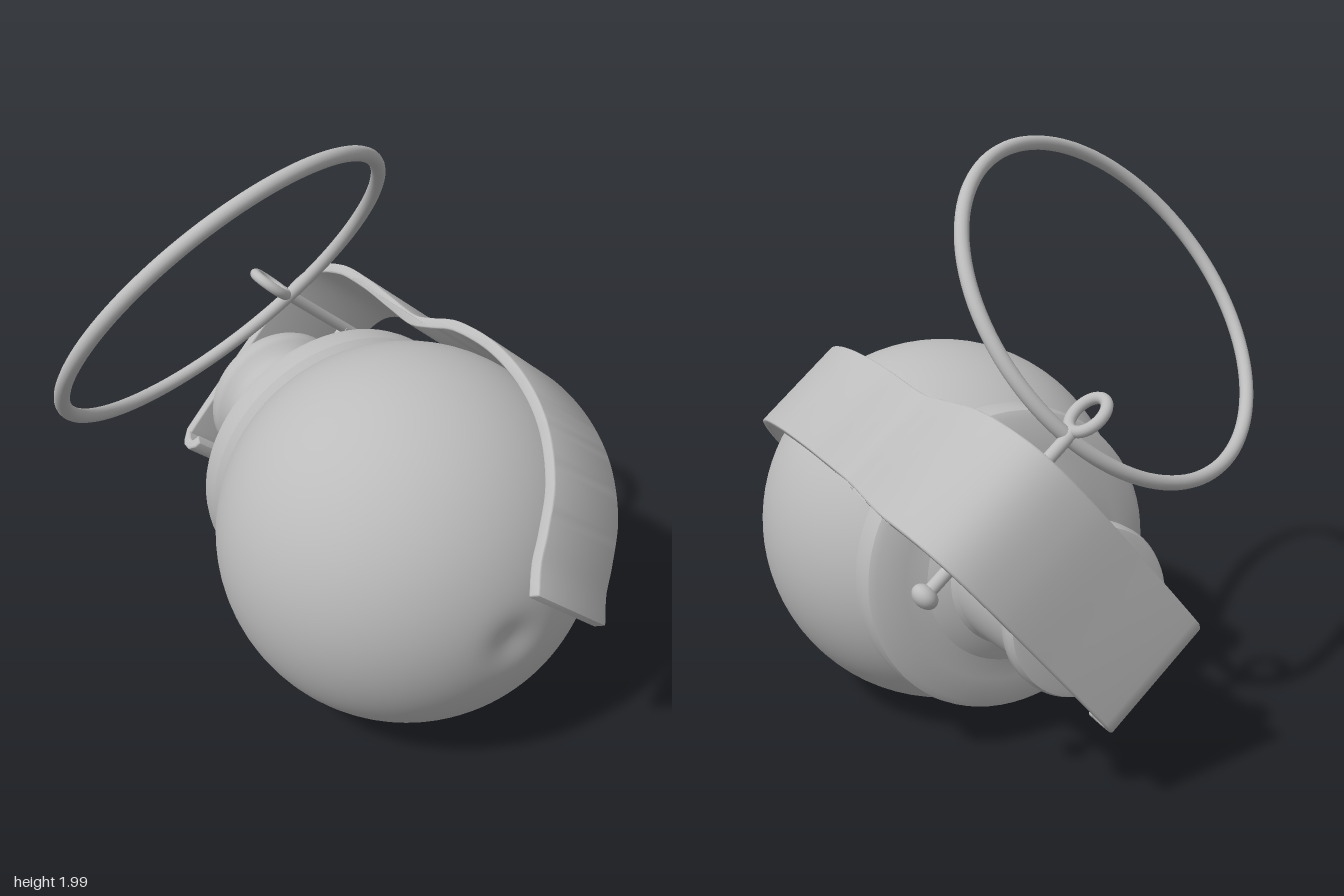
import * as THREE from 'three';
import { toCreasedNormals } from 'three/addons/utils/BufferGeometryUtils.js';

const V2 = (p) => new THREE.Vector2(p[0], p[1]);

export function createModel() {
  const model = new THREE.Group();
  const steel = new THREE.MeshStandardMaterial({ color: 0xbcbcbc });
  steel.name = 'grey metal';

  const add = (parent, name, geometry) => {
    const mesh = new THREE.Mesh(geometry, steel);
    mesh.name = name;
    parent.add(mesh);
    return mesh;
  };

  // Tilted frame: local y runs along the neck, x towards the lever, z across the lever
  const axis = new THREE.Vector3(-0.78, 0.06, -0.62).normalize();
  const out = new THREE.Vector3(0.435, 0.77, -0.47);
  out.addScaledVector(axis, -out.dot(axis)).normalize();
  const across = new THREE.Vector3().crossVectors(out, axis);
  const body = new THREE.Group();
  body.name = 'tiltedBody';
  body.quaternion.setFromRotationMatrix(new THREE.Matrix4().makeBasis(out, axis, across));
  body.position.set(0.155, 0.65, 0.14);
  model.add(body);

  // Round shell with a shallow dimple opposite the neck
  const R = 0.645;
  const shell = [];
  for (let i = 0; i <= 90; i++) {
    const a = Math.PI * Math.pow(i / 90, 1.3);
    const r = R - 0.022 * Math.exp(-Math.pow(a / 0.13, 2));
    shell.push(new THREE.Vector2(r * Math.sin(a), -r * Math.cos(a)));
  }
  add(body, 'shell', new THREE.LatheGeometry(shell, 80));

  // Collar with a chamfered rim, neck and lip
  const collar = [[0.4, 0.385], [0.49, 0.39], [0.5, 0.395], [0.52, 0.43], [0.52, 0.49],
    [0.513, 0.515], [0.49, 0.53], [0.4, 0.545], [0.3, 0.56], [0.268, 0.575], [0.252, 0.61]].map(V2);
  add(body, 'collar', toCreasedNormals(new THREE.LatheGeometry(collar, 72), 0.5));
  const neck = [[0.252, 0.6], [0.245, 0.88], [0.25, 0.91], [0.268, 0.93], [0.277, 0.95],
    [0.277, 0.98], [0.268, 1.0], [0.25, 1.005], [0, 1.005]].map(V2);
  add(body, 'neck', toCreasedNormals(new THREE.LatheGeometry(neck, 72), 0.6));

  // Lever: bent strip following a side profile of [out, along]
  const path = new THREE.SplineCurve([
    [0.185, -0.735], [0.26, -0.67], [0.345, -0.62], [0.47, -0.53], [0.585, -0.38], [0.655, -0.2],
    [0.682, 0], [0.664, 0.19], [0.62, 0.3], [0.588, 0.39], [0.586, 0.52], [0.586, 0.68],
    [0.565, 0.85], [0.485, 0.985], [0.3, 1.04], [0, 1.048], [-0.285, 1.045],
    [-0.32, 1.033], [-0.334, 1.005], [-0.324, 0.975], [-0.29, 0.96],
  ].map(V2));
  const half = 0.019, steps = 110, top = [], under = [];
  for (let i = 0; i <= steps; i++) {
    const p = path.getPointAt(i / steps), t = path.getTangentAt(i / steps);
    top.push(new THREE.Vector2(p.x + t.y * half, p.y - t.x * half));
    under.unshift(new THREE.Vector2(p.x - t.y * half, p.y + t.x * half));
  }
  const width = 0.43, bevel = 0.007;
  const strip = new THREE.ExtrudeGeometry(new THREE.Shape([...top, ...under]), {
    depth: width - 2 * bevel, bevelThickness: bevel, bevelSize: bevel, bevelOffset: -bevel, bevelSegments: 3,
  });
  strip.translate(0, 0, bevel - width / 2);
  // The strip is narrower where it lies over the shell
  const pos = strip.attributes.position;
  for (let i = 0; i < pos.count; i++) {
    const k = 1 - THREE.MathUtils.smoothstep(pos.getY(i), 0.35, 0.78);
    pos.setZ(i, pos.getZ(i) * (1 - 0.15 * k));
  }
  add(body, 'lever', toCreasedNormals(strip, 0.7));

  // Safety pin: shaft, rounded head, eyelet and the post that carries it
  const pin = new THREE.Group();
  pin.name = 'safetyPin';
  pin.position.set(0.385, 0.855, 0);
  body.add(pin);
  const shaft = add(pin, 'pinShaft', new THREE.CylinderGeometry(0.021, 0.021, 0.66, 20));
  shaft.rotation.x = Math.PI / 2;
  shaft.position.z = 0.03;
  const head = add(pin, 'pinHead', new THREE.SphereGeometry(0.044, 24, 16));
  head.scale.z = 0.75;
  head.position.z = -0.3;
  const eyelet = add(pin, 'pinEyelet', new THREE.TorusGeometry(0.067, 0.019, 14, 40));
  eyelet.rotation.y = Math.PI / 2;
  eyelet.position.z = 0.425;
  const post = add(pin, 'pinPost', new THREE.BoxGeometry(0.16, 0.045, 0.06));
  post.position.x = -0.075;

  // Pull ring
  const ring = add(model, 'pullRing', new THREE.TorusGeometry(0.63, 0.024, 16, 110));
  ring.quaternion.setFromUnitVectors(new THREE.Vector3(0, 0, 1),
    new THREE.Vector3(0.76, -0.61, 0.22).normalize());
  ring.position.set(-0.442, 1.475, 0.213);

  return model;
}
